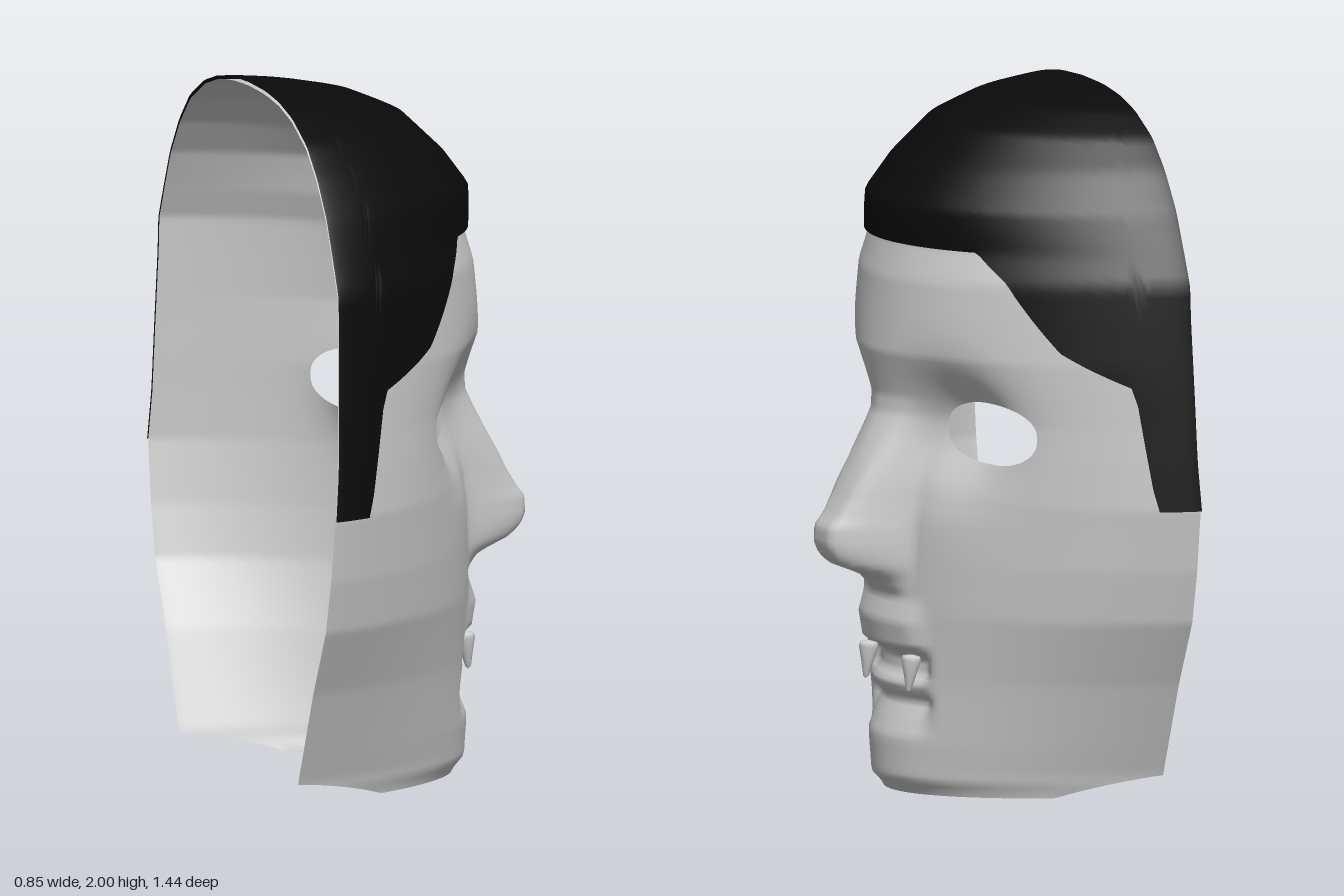
import * as THREE from 'three';

// Piecewise-linear lookup in [[key, value], ...]
function lookup(table, k) {
  if (k <= table[0][0]) return table[0][1];
  for (let i = 1; i < table.length; i++) {
    const [k0, v0] = table[i - 1], [k1, v1] = table[i];
    if (k <= k1) return v0 + (v1 - v0) * (k - k0) / (k1 - k0);
  }
  return table[table.length - 1][1];
}
const fade = (v, from, to) => 1 - THREE.MathUtils.smoothstep(v, from, to);

// Tables keyed by height y
const halfWidth = [[0.01, 0.44], [0.07, 0.455], [0.34, 0.56], [0.53, 0.65], [0.68, 0.685], [0.86, 0.712],
  [1.2, 0.695], [1.5, 0.677], [1.6, 0.635], [1.7, 0.59], [1.8, 0.52], [1.88, 0.44], [1.94, 0.33],
  [1.97, 0.23], [1.985, 0.13], [1.99, 0]];
const centreX = [[0.01, 0.2], [0.05, 0.238], [0.15, 0.242], [0.3, 0.235], [0.57, 0.232], [0.85, 0.22],
  [1.09, 0.235], [1.27, 0.268], [1.48, 0.245], [1.58, 0.215], [1.64, 0.22], [1.69, 0.22], [1.78, 0.15],
  [1.89, 0.03], [1.95, -0.1], [1.98, -0.24], [1.99, -0.4]];
const backX = [[0.07, -0.43], [0.86, -0.42], [1.0, -0.41], [1.4, -0.4]];
const noseRise = [[0.57, 0], [0.62, 0.05], [0.66, 0.15], [0.69, 0.182], [0.72, 0.197], [0.77, 0.198],
  [0.8, 0.175], [1.09, 0.015], [1.14, 0]];
const mouthRelief = [[0.17, 0], [0.22, -0.02], [0.27, -0.045], [0.295, -0.02], [0.325, -0.01],
  [0.345, -0.04], [0.39, -0.045], [0.41, -0.025], [0.43, 0.015], [0.5, 0.025], [0.57, 0]];
// Hairline height keyed by the fraction of the half width
const hairline = [[0.52, 1.58], [0.63, 1.5], [0.78, 1.31], [0.925, 1.21], [0.948, 0.86], [1, 0.86]];

// Depth of the face at height y and sideways position z
function depth(y, z) {
  const a = Math.abs(z), w = lookup(halfWidth, y);
  const s = w > 0 ? Math.min(1, a / w) : 0;
  const round = Math.pow(Math.max(0, 1 - s * s), 0.75);
  const back = lookup(backX, y);
  let x = back + (lookup(centreX, y) - back) * round;
  const flat = 0.045 + Math.max(0, y - 0.78) * 0.13;
  x += lookup(noseRise, y) * fade(a, flat, 0.155);
  x += lookup(mouthRelief, y) * fade(a, 0.14, 0.21);
  x -= 0.125 * Math.exp(-(((a - 0.27) / 0.14) ** 2) - ((y - 1.06) / 0.15) ** 2);
  return x;
}

// Distance from an eye centre, 1 on the rim of its opening
const eye = { z: 0.333, y: 1.058, w: 0.146, h: 0.088 };
function eyeRadius(y, z) {
  const n = 2.5;
  return (Math.abs((Math.abs(z) - eye.z) / eye.w) ** n + Math.abs((y - eye.y) / eye.h) ** n) ** (1 / n);
}

// Grid surface; place(s, v) gives { p, hole }, and all-hole triangles are left out
function sheet(cols, rows, place) {
  const pos = [], hole = [], index = [];
  for (let i = 0; i <= rows; i++) {
    for (let j = 0; j <= cols; j++) {
      const r = place(Math.sin((j / cols - 0.5) * Math.PI), i / rows);
      pos.push(...r.p);
      hole.push(r.hole);
    }
  }
  const tri = (a, b, c) => { if (!(hole[a] && hole[b] && hole[c])) index.push(a, b, c); };
  for (let i = 0; i < rows; i++) {
    for (let j = 0; j < cols; j++) {
      const a = i * (cols + 1) + j, b = a + 1, c = a + cols + 1, d = c + 1;
      tri(a, c, b);
      tri(b, c, d);
    }
  }
  const g = new THREE.BufferGeometry();
  g.setAttribute('position', new THREE.Float32BufferAttribute(pos, 3));
  g.setIndex(index);
  g.computeVertexNormals();
  return g;
}

export function createModel() {
  const mask = new THREE.Group();
  mask.name = 'mask';
  const add = (name, geometry, color, side = THREE.FrontSide) => {
    const mesh = new THREE.Mesh(geometry, new THREE.MeshStandardMaterial({ color, side }));
    mesh.name = name;
    mask.add(mesh);
    return mesh;
  };

  // Face shell with two eye openings
  const face = sheet(140, 170, (s, v) => {
    const bottom = 0.005 + 0.06 * Math.max(0, (Math.abs(s) - 0.8) / 0.2);
    let y = THREE.MathUtils.lerp(bottom, 1.99, 1 - (1 - v) ** 1.2);
    let z = s * lookup(halfWidth, y);
    const r = eyeRadius(y, z), hole = r < 1;
    if (hole) {
      // Pull points inside the opening out to its rim
      const k = 1 / Math.max(r, 0.01), cz = Math.sign(z) * eye.z;
      z = cz + (z - cz) * k;
      y = eye.y + (y - eye.y) * k;
    }
    return { p: [depth(y, z), y, z], hole };
  });
  add('face', face, 0xcccccc, THREE.DoubleSide);

  // Hair cap lying just outside the shell, down to the sideburns
  const hair = sheet(140, 50, (s, v) => {
    const y = THREE.MathUtils.lerp(lookup(hairline, Math.abs(s)), 1.99, 1 - (1 - v) ** 2);
    const z = s * lookup(halfWidth, y);
    const lift = 0.016 * Math.sqrt(Math.max(0, 1 - s * s)) * fade(y, 1.9, 1.99);
    return { p: [depth(y, z) + lift, y + 0.01 * THREE.MathUtils.smoothstep(y, 1.6, 1.95), z * 1.012], hole: false };
  });
  add('hair', hair, 0x0a0a0a, THREE.DoubleSide);

  // Pair of fangs hanging from the upper lip
  const outline = [[0, -0.055], [0.008, -0.048], [0.019, 0], [0.028, 0.035], [0.025, 0.048], [0, 0.053]];
  const fang = new THREE.LatheGeometry(outline.map(([r, y]) => new THREE.Vector2(r, y)), 14);
  for (const side of [1, -1]) {
    const mesh = add(side > 0 ? 'leftFang' : 'rightFang', fang, 0xffffff);
    mesh.position.set(0.208, 0.357, side * 0.135);
    mesh.rotation.z = 0.1;
  }
  return mask;
}
